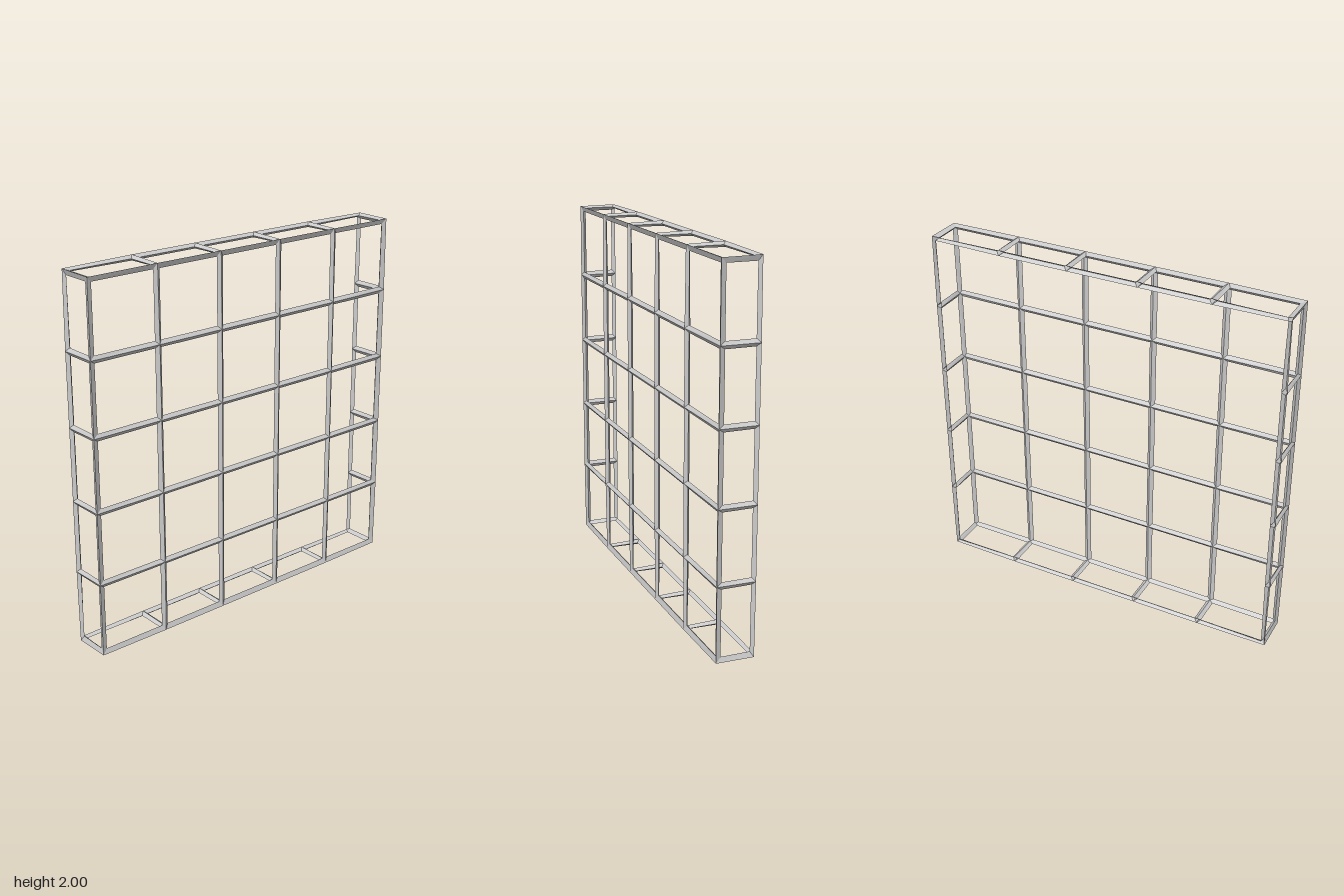
import * as THREE from 'three';

const HALF = 0.985;      // half width and height of the lattice, at bar centres
const FRONT = 0.09;      // z of the front grid
const BACK = -0.105;     // z of the open back rim
const CELLS = 5;
const RIDGE = 0.015;     // how far the bar ridges rise on each side of a panel
const INSET = 0.019;     // half width of the bars within a panel

const V = (x, y, z) => new THREE.Vector3(x, y, z);
const at = (i) => -HALF + (2 * HALF * i) / CELLS;
const key = (p) => p.toArray().map((n) => Math.round(n * 1000)).join();

// Square panels of the front
function frontPanels() {
  const panels = [];
  for (let i = 0; i < CELLS; i++) {
    for (let j = 0; j < CELLS; j++) {
      panels.push([
        V(at(i), at(j), FRONT), V(at(i + 1), at(j), FRONT),
        V(at(i + 1), at(j + 1), FRONT), V(at(i), at(j + 1), FRONT),
      ]);
    }
  }
  return panels;
}

// Row of panels on one side, turned about z
function sidePanels(turn) {
  const axis = V(0, 0, 1);
  return Array.from({ length: CELLS }, (_, i) => [
    V(at(i), HALF, FRONT), V(at(i + 1), HALF, FRONT),
    V(at(i + 1), HALF, BACK), V(at(i), HALF, BACK),
  ].map((p) => p.applyAxisAngle(axis, (turn * Math.PI) / 2)));
}

const panelNormal = ([a, b, , d]) =>
  b.clone().sub(a).cross(d.clone().sub(a)).normalize();

// Bars around every panel: sloped strips from the ridges to the inset outline
function barGeometry(panels, normals) {
  const pos = [];
  const quad = (a, b, c, d) => [a, b, c, a, c, d].forEach((p) => pos.push(p.x, p.y, p.z));
  for (const panel of panels) {
    const ridge = (p, s) => p.clone().addScaledVector(normals.get(key(p)), s * RIDGE);
    const outer = panel.map((p) => ridge(p, 1));
    const inner = panel.map((p) => ridge(p, -1));
    const inset = panel.map((p, k) => {
      const next = panel[(k + 1) % 4].clone().sub(p).normalize();
      const prev = panel[(k + 3) % 4].clone().sub(p).normalize();
      return p.clone().addScaledVector(next.add(prev), INSET);
    });
    for (let k = 0; k < 4; k++) {
      const n = (k + 1) % 4;
      quad(outer[k], outer[n], inset[n], inset[k]);
      quad(inner[n], inner[k], inset[k], inset[n]);
    }
  }
  const geometry = new THREE.BufferGeometry();
  geometry.setAttribute('position', new THREE.Float32BufferAttribute(pos, 3));
  geometry.computeVertexNormals();
  return geometry;
}

export function createModel() {
  const group = new THREE.Group();
  group.name = 'latticeFrame';
  // Double-sided because the bars of the back rim are open channels
  const material = new THREE.MeshStandardMaterial({
    color: 0xcccccc, flatShading: true, side: THREE.DoubleSide,
  });

  const parts = [{ name: 'frontGrid', panels: frontPanels() }];
  ['topFrame', 'rightFrame', 'bottomFrame', 'leftFrame'].forEach((name, turn) =>
    parts.push({ name, panels: sidePanels(turn) }));

  // Averaged directions at the joints, shared by all parts so bars meet cleanly
  const normals = new Map();
  for (const { panels } of parts) {
    for (const panel of panels) {
      const n = panelNormal(panel);
      for (const p of panel) {
        if (!normals.has(key(p))) normals.set(key(p), V(0, 0, 0));
        normals.get(key(p)).add(n);
      }
    }
  }
  normals.forEach((n) => n.normalize());

  for (const { name, panels } of parts) {
    const mesh = new THREE.Mesh(barGeometry(panels, normals), material);
    mesh.name = name;
    mesh.position.y = 1;
    group.add(mesh);
  }
  return group;
}
